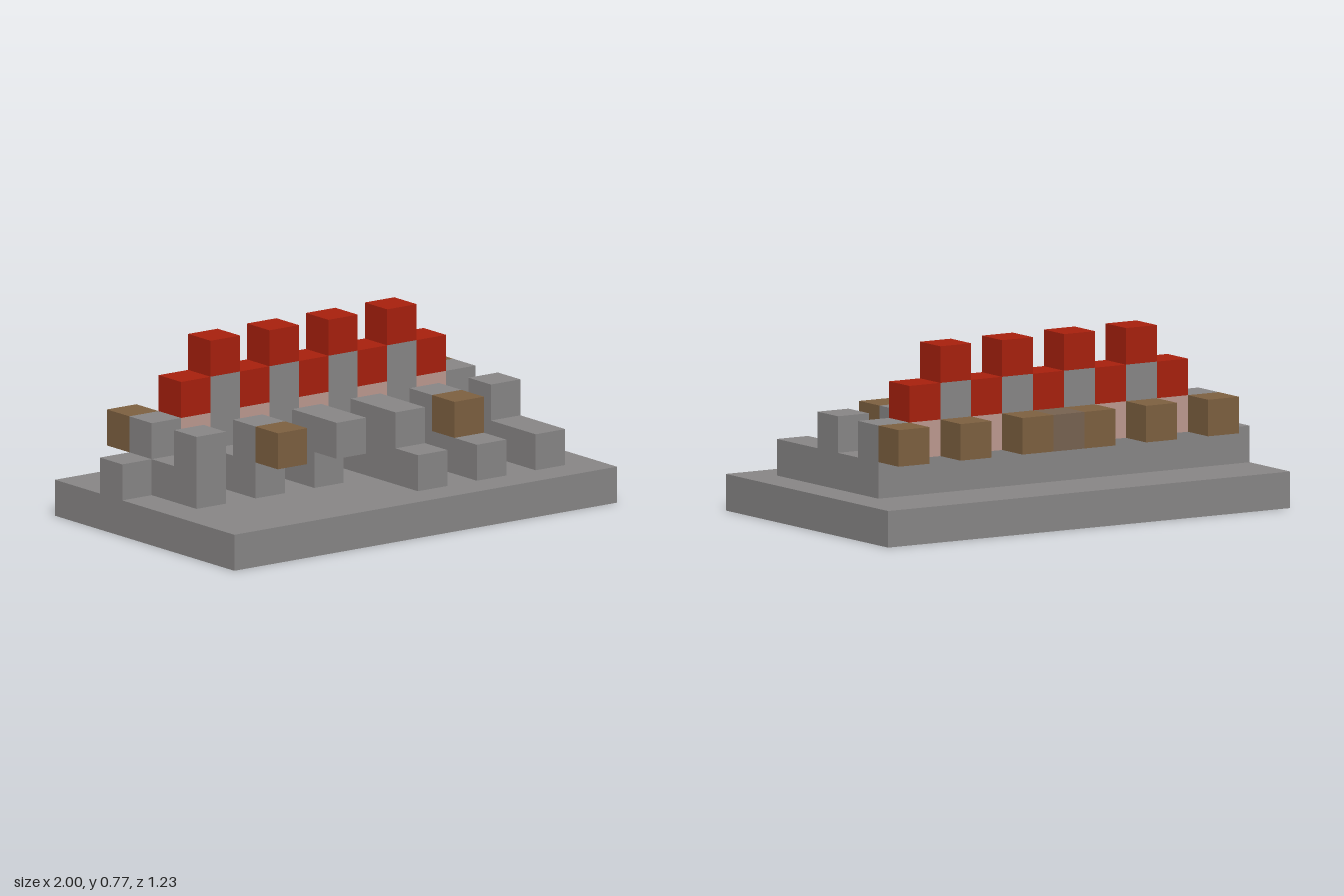
import * as THREE from 'three';

const U = 2 / 13; // one block

const colour = (name, hex) => {
  const m = new THREE.MeshStandardMaterial({ color: hex });
  m.name = name;
  return m;
};

export function createModel() {
  const stone = colour('stone grey', 0x888686);
  const red = colour('roof red', 0xa8200d);
  const wood = colour('wood brown', 0x7d6040);
  const darkWood = colour('weathered brown', 0x776250);
  const plaster = colour('pale pink', 0xbd9990);

  const model = new THREE.Group();
  model.name = 'battlementModel';

  // x is a column centre, y the bottom and z the back edge, all in blocks
  const block = (name, material, x, y, z, w = 1, h = 1, d = 1) => {
    const mesh = new THREE.Mesh(new THREE.BoxGeometry(w * U, h * U, d * U), material);
    mesh.position.set(x * U, (y + h / 2) * U, (z + d / 2) * U);
    mesh.name = name;
    model.add(mesh);
  };

  block('basePlate', stone, 0, 0, -4, 13, 1, 8);

  // Long wall: footing, alternating panels and piers, stepped red roof
  block('wallFooting', stone, -0.5, 1, -2, 12, 1, 1);
  for (let x = -4; x <= 4; x++) {
    if (x % 2 === 0) {
      block('wallPanel', plaster, x, 2, -2);
      block('lowRoof', red, x, 3, -2);
    } else {
      block('pier', stone, x, 2, -2, 1, 2, 1);
      block('highRoof', red, x, 4, -2);
    }
  }
  for (const x of [-5, 5]) block('endPier', stone, x, 2, -2);

  // Blocks projecting from the back of the wall
  for (const x of [-5, -3, -1, 1, 3, 5]) block('backBracket', wood, x, 2, -3);
  block('backCentreBracket', darkWood, 0, 2, -3);

  // Fingers reaching forward: [column, lower length, upper length, wooden tip]
  const fingers = [
    [-5, 2, 1, false],
    [-3, 2, 1, true],
    [-1, 2, 2, false],
    [1, 4, 2, false],
    [3, 4, 1, true],
    [5, 4, 1, false],
  ];
  for (const [x, lower, upper, tip] of fingers) {
    block('fingerBase', stone, x, 1, -1, 1, 1, lower);
    block('fingerTop', stone, x, 2, 0, 1, 1, upper);
    if (tip) block('fingerTip', wood, x, 2, 1);
  }

  return model;
}
